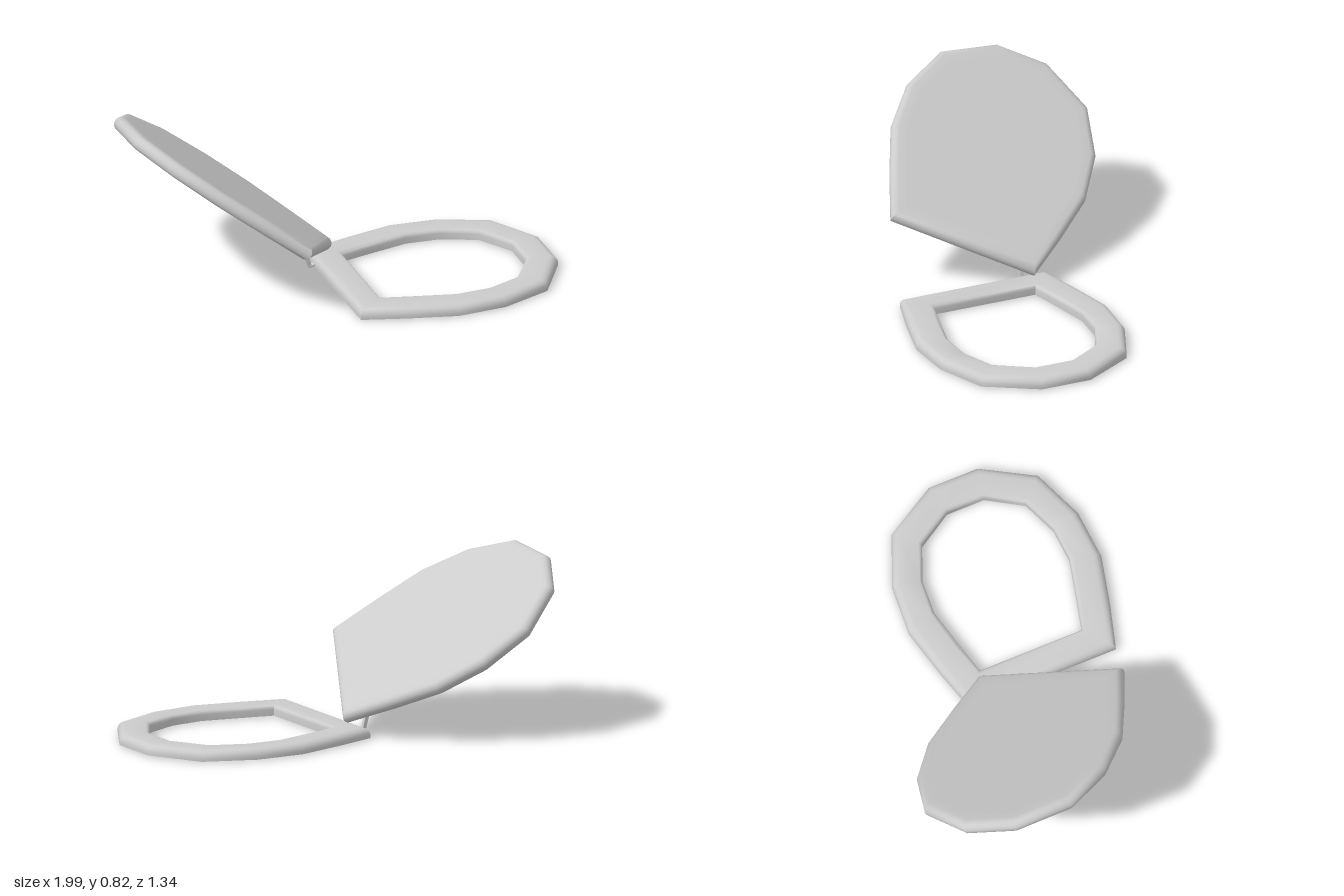
import * as THREE from 'three';
import { toCreasedNormals } from 'three/addons/utils/BufferGeometryUtils.js';

const material = () => new THREE.MeshStandardMaterial({ color: 0xcccccc });

// Mirror a half outline of [length, half width] pairs into a closed loop.
const mirrored = (half) => [
  ...half.map(([x, w]) => [x, -w]),
  ...half.slice().reverse(),
];

// Skin a list of equal-length rings of [x, y, z] points.
function loft(rings, closed) {
  const n = rings[0].length, index = [];
  const last = closed ? rings.length : rings.length - 1;
  for (let j = 0; j < last; j++) {
    const k = (j + 1) % rings.length;
    for (let i = 0; i < n; i++) {
      const i2 = (i + 1) % n;
      const a = j * n + i, b = j * n + i2, c = k * n + i, d = k * n + i2;
      index.push(a, c, b, b, c, d);
    }
  }
  const geometry = new THREE.BufferGeometry();
  geometry.setAttribute('position', new THREE.Float32BufferAttribute(rings.flat(2), 3));
  geometry.setIndex(index);
  return toCreasedNormals(geometry, 0.85);
}

// Open ring: flat below, rounded on the outer and inner top edges.
function seatGeometry() {
  const zc = 0.175;
  const outer = mirrored([[-0.08, 0.375], [0.13, 0.435], [0.37, 0.492], [0.61, 0.475], [0.855, 0.375], [1, 0.125]]);
  const inner = mirrored([[0.06, 0.26], [0.22, 0.3], [0.41, 0.345], [0.575, 0.335], [0.745, 0.265], [0.85, 0.095]]);
  const profile = [[0, 0.01], [0, 0.025]];
  for (let s = 1; s <= 4; s++) {
    const a = (s / 4) * Math.PI / 2;
    profile.push([0.26 * (1 - Math.cos(a)), 0.025 + 0.035 * Math.sin(a)]);
  }
  for (let s = 0; s <= 4; s++) {
    const a = (s / 4) * Math.PI / 2;
    profile.push([0.86 + 0.14 * Math.sin(a), 0.04 + 0.02 * Math.cos(a)]);
  }
  profile.push([1, 0.01]);
  const rings = profile.map(([t, y]) => outer.map(([x, z], i) => [
    THREE.MathUtils.lerp(x, inner[i][0], t), y,
    zc + THREE.MathUtils.lerp(z, inner[i][1], t),
  ]));
  return loft(rings, true);
}

// Solid plate with a fully rounded rim; length along x, thickness along y.
function lidGeometry() {
  const outline = mirrored([[0, 0.365], [0.24, 0.432], [0.495, 0.492], [0.748, 0.478], [0.99, 0.372], [1.142, 0.127]]);
  const centre = 0.57, r = 0.035;
  const profile = [[0, -r], [0.85, -r]];
  for (let s = -4; s <= 4; s++) {
    const a = (s / 4) * Math.PI / 2;
    profile.push([1 - 0.065 * (1 - Math.cos(a)), r * Math.sin(a)]);
  }
  profile.push([0.85, r], [0, r]);
  const rings = profile.map(([k, y]) => outline.map(([x, z]) => [centre + (x - centre) * k, y, z * k]));
  return loft(rings, false);
}

export function createModel() {
  const model = new THREE.Group();
  const add = (name, geometry, parent = model) => {
    const mesh = new THREE.Mesh(geometry, material());
    mesh.name = name;
    parent.add(mesh);
    return mesh;
  };

  add('seat', seatGeometry());

  // Lid swung open and twisted off its hinge line
  const lid = add('lid', lidGeometry());
  const along = new THREE.Vector3(-0.68, 0.465, -0.567).normalize();
  const across = new THREE.Vector3(-0.457, 0.38, 0.804);
  const up = along.clone().cross(across).normalize();
  const side = along.clone().cross(up);
  lid.quaternion.setFromRotationMatrix(new THREE.Matrix4().makeBasis(along, up, side));
  lid.position.set(-0.15, 0.22, 0.195);

  // Small hinge bracket behind the seat
  const hinge = new THREE.Group();
  hinge.name = 'hinge';
  hinge.position.set(-0.115, 0.057, -0.09);
  hinge.rotation.z = 0.27;
  model.add(hinge);
  add('hingeStrut', new THREE.BoxGeometry(0.018, 0.1, 0.02), hinge);
  const foot = add('hingeFoot', new THREE.BoxGeometry(0.035, 0.01, 0.025), hinge);
  foot.position.set(0.012, -0.047, 0);
  return model;
}
